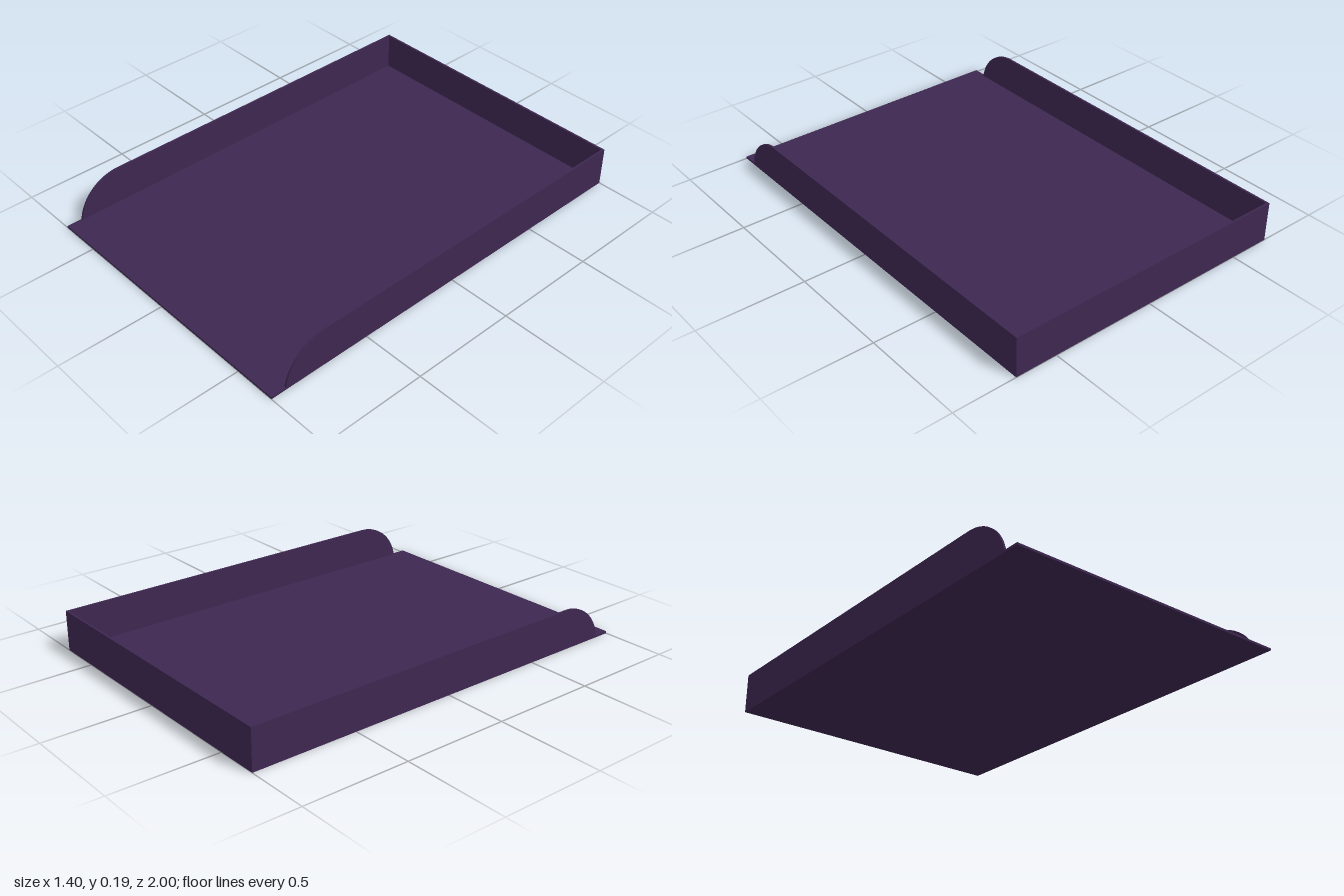
import * as THREE from 'three';

const W = 1.4, L = 2, H = 0.19, T = 0.01;

export function createModel() {
  const group = new THREE.Group();
  group.name = 'paperTray';
  const material = new THREE.MeshStandardMaterial({ color: 0x3d2750 });

  const add = (name, geometry, x, y, z) => {
    const mesh = new THREE.Mesh(geometry, material);
    mesh.name = name;
    mesh.position.set(x, y, z);
    group.add(mesh);
  };

  // Flat floor and upright back wall
  add('floor', new THREE.BoxGeometry(W, T, L), 0, T / 2, 0);
  add('backWall', new THREE.BoxGeometry(W - 2 * T, H - T, T), 0, (H + T) / 2, -L / 2 + T / 2);

  // Side wall profile (z, y): the front end curves down to the floor
  const radius = 0.22, centreZ = 0.71, centreY = H - radius;
  const profile = new THREE.Shape();
  profile.moveTo(-L / 2, T);
  profile.lineTo(centreZ + Math.sqrt(radius ** 2 - (T - centreY) ** 2), T);
  profile.absarc(centreZ, centreY, radius, Math.asin((T - centreY) / radius), Math.PI / 2, false);
  profile.lineTo(-L / 2, H);
  profile.closePath();
  const wall = new THREE.ExtrudeGeometry(profile, { depth: T, bevelEnabled: false, curveSegments: 10 });
  wall.rotateY(-Math.PI / 2).translate(T / 2, 0, 0);

  for (const [name, side] of [['leftWall', 1], ['rightWall', -1]]) {
    add(name, wall, side * (W - T) / 2, 0, 0);
  }
  return group;
}
